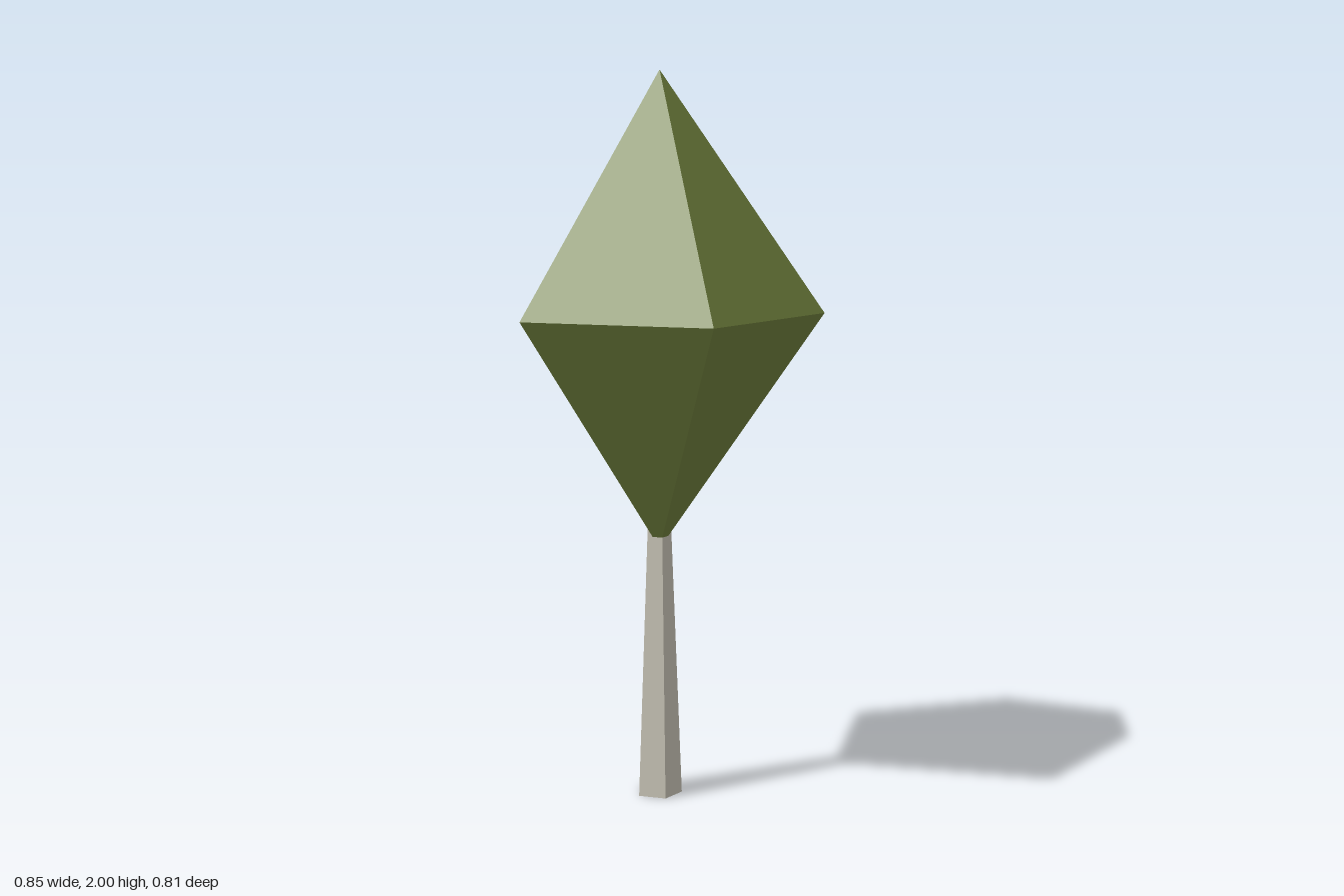
import * as THREE from 'three';

const SIDES = 5;

export function createModel() {
  const tree = new THREE.Group();
  tree.name = 'tree';

  const foliage = new THREE.MeshStandardMaterial({ color: 0x72823e, flatShading: true });
  foliage.name = 'olive foliage';
  const bark = new THREE.MeshStandardMaterial({ color: 0xc8c4b6, flatShading: true });
  bark.name = 'pale bark';

  // Five-sided tapered section from y0 to y1, with one corner facing +z
  function section(name, material, rBottom, rTop, y0, y1, z, open) {
    const geometry = new THREE.CylinderGeometry(rTop, rBottom, y1 - y0, SIDES, 1, open);
    const mesh = new THREE.Mesh(geometry, material);
    mesh.name = name;
    mesh.position.set(0, (y0 + y1) / 2, z);
    tree.add(mesh);
  }

  // Trunk, its top hidden inside the crown
  section('trunk', bark, 0.066, 0.034, 0, 0.8, -0.056, false);

  // Crown: two pyramids meeting at the widest ring
  section('lowerCrown', foliage, 0, 0.447, 0.7, 1.35, -0.043, true);
  section('upperCrown', foliage, 0.447, 0, 1.35, 2, -0.043, true);

  return tree;
}
